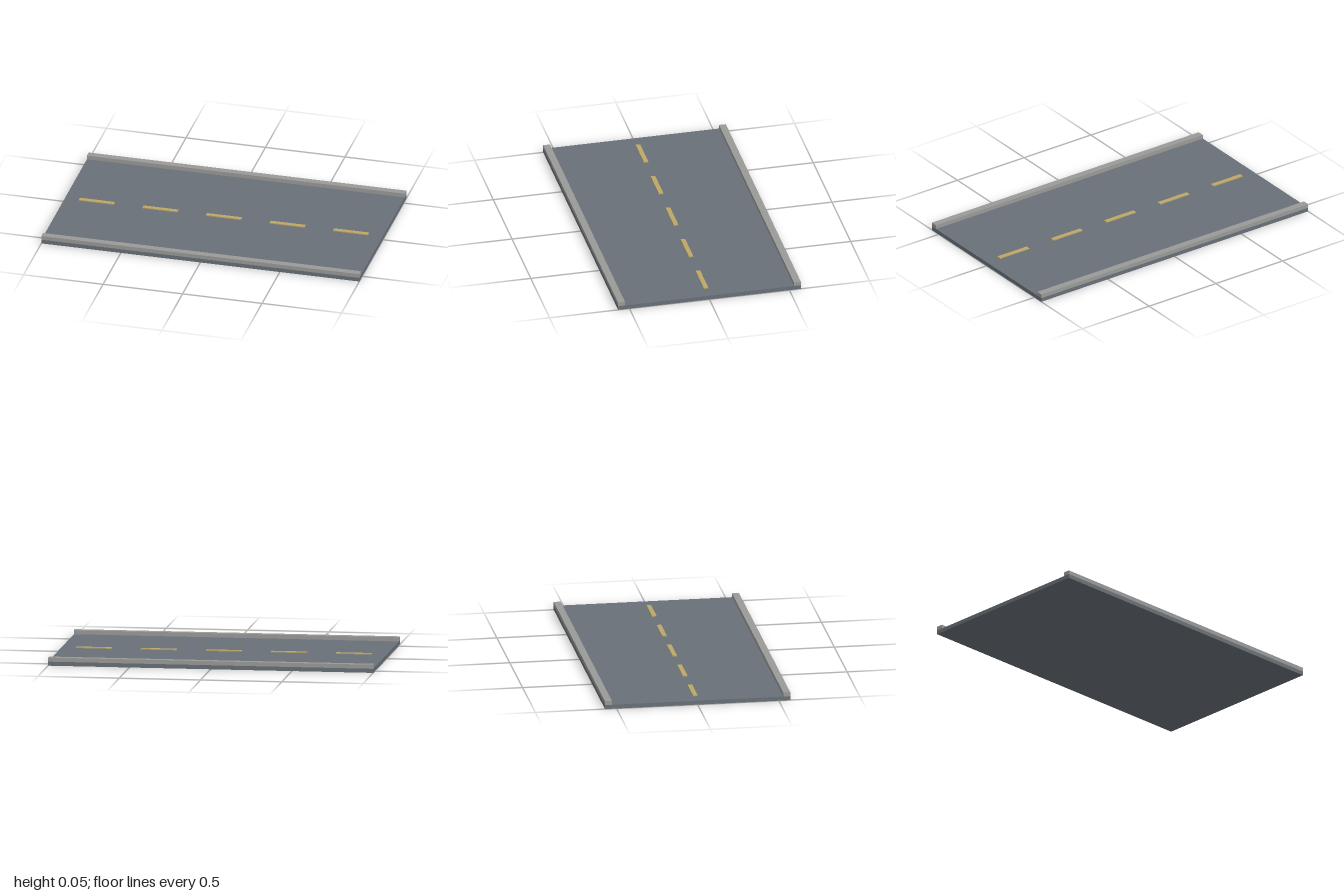
import * as THREE from 'three';

export function createModel() {
  const model = new THREE.Group();
  model.name = 'roadSegment';

  const asphalt = new THREE.MeshStandardMaterial({ name: 'asphalt', color: 0x687078 });
  const concrete = new THREE.MeshStandardMaterial({ name: 'concrete', color: 0x9a9b99 });
  const paint = new THREE.MeshStandardMaterial({ name: 'yellowPaint', color: 0xbda768 });

  // Box placed by its bottom height
  function addBox(name, material, [w, h, d], [x, bottom, z]) {
    const mesh = new THREE.Mesh(new THREE.BoxGeometry(w, h, d), material);
    mesh.name = name;
    mesh.position.set(x, bottom + h / 2, z);
    model.add(mesh);
  }

  const length = 2, width = 1.142, deck = 0.025, curbWidth = 0.043;

  // Road deck
  addBox('roadDeck', asphalt, [length, deck, width], [0, 0, 0]);

  // Raised curbs along both long edges
  for (const side of [1, -1]) {
    addBox(side > 0 ? 'frontCurb' : 'backCurb', concrete,
      [length, 0.025, curbWidth], [0, deck, side * (width - curbWidth) / 2]);
  }

  // Dashed centre line
  for (let i = 0; i < 5; i++) {
    addBox(`laneDash${i + 1}`, paint, [0.22, 0.006, 0.028], [(i - 2) * 0.4, deck, 0]);
  }

  return model;
}
